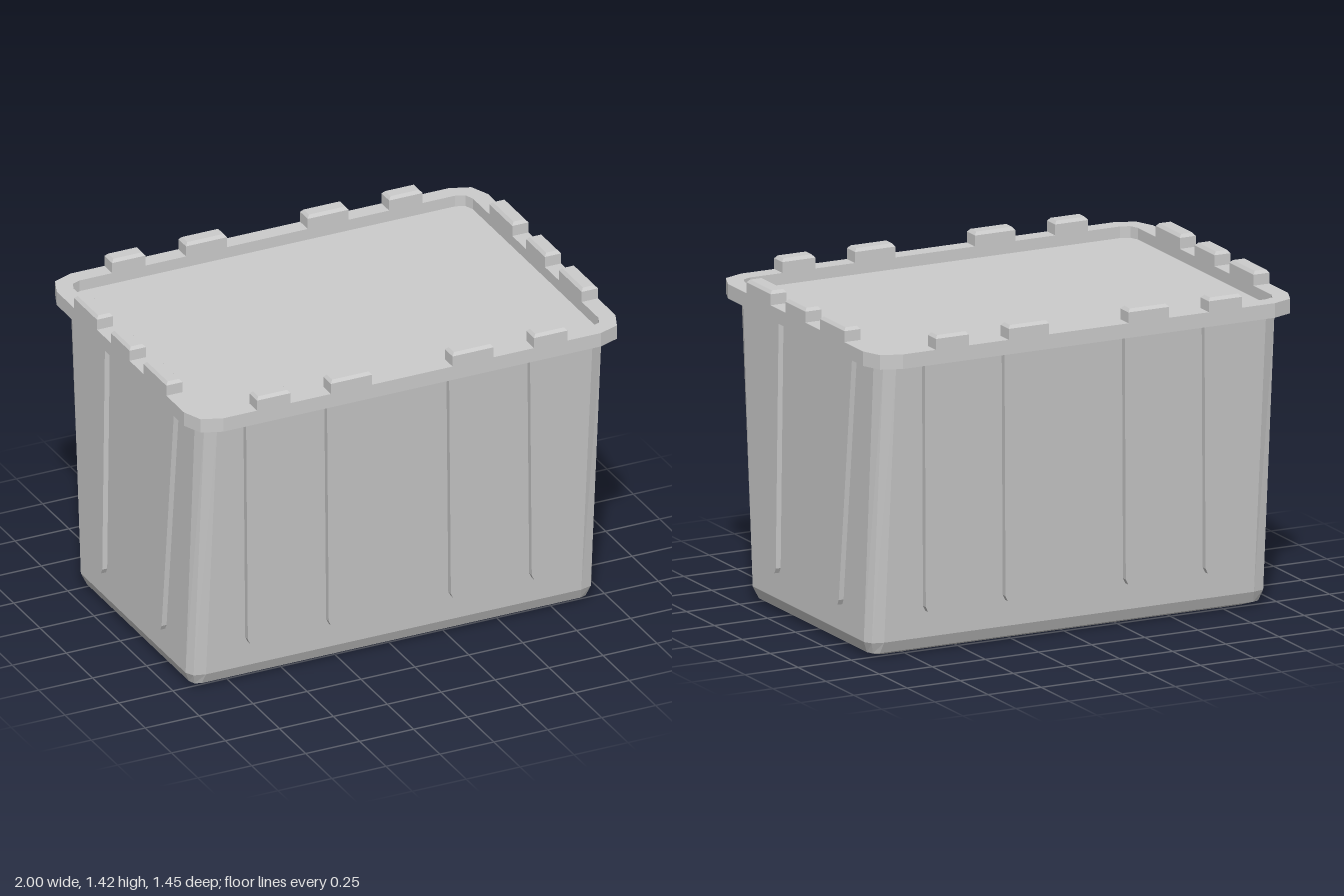
import * as THREE from 'three';

const material = new THREE.MeshStandardMaterial({ color: 0xcccccc, flatShading: true });

function add(group, name, geometry) {
  const mesh = new THREE.Mesh(geometry, material);
  mesh.name = name;
  group.add(mesh);
  return mesh;
}

// Rectangle with two-facet corners: half sizes and corner cut along x and z
function outline(hx, hz, cx, cz = cx) {
  const corner = [[hx, hz - cz], [hx - 0.28 * cx, hz - 0.28 * cz], [hx - cx, hz]];
  const flipX = corner.map(([x, z]) => [-x, z]).reverse();
  const half = [...corner, ...flipX];
  return [...half, ...half.map(([x, z]) => [-x, -z])];
}

// Closed loft through rings of [x, z] points, from bottom to top
function loft(rings) {
  const n = rings[0].points.length;
  const last = (rings.length - 1) * n;
  const positions = rings.flatMap(({ y, points }) => points.flatMap(([x, z]) => [x, y, z]));
  const index = [];
  for (let r = 0; r < rings.length - 1; r++) {
    for (let j = 0; j < n; j++) {
      const a = r * n + j, b = r * n + (j + 1) % n;
      index.push(a, a + n, b, b, a + n, b + n);
    }
  }
  for (let j = 1; j < n - 1; j++) {
    index.push(0, j, j + 1, last, last + j + 1, last + j);
  }
  const indexed = new THREE.BufferGeometry();
  indexed.setAttribute('position', new THREE.Float32BufferAttribute(positions, 3));
  indexed.setIndex(index);
  const geometry = indexed.toNonIndexed();
  geometry.computeVertexNormals();
  return geometry;
}

const toShape = (points) => new THREE.Shape(points.map(([x, y]) => new THREE.Vector2(x, y)));

// Horizontal slab with an optional opening
function slab(points, y, height, hole) {
  const shape = toShape(points);
  if (hole) shape.holes.push(toShape(hole));
  return new THREE.ExtrudeGeometry(shape, { depth: height, bevelEnabled: false })
    .rotateX(-Math.PI / 2).translate(0, y, 0);
}

// Tapered rib facing +z; its face leans outward by slope
function ribGeometry(top, bottom, face, slope) {
  const [t0, t1] = top, [b0, b1] = bottom;
  const c = Math.sign(b1 - b0) * 0.012;
  const shape = toShape([[t0, 1.3], [b0, 0.21], [b0 + c, 0.187], [b1 - c, 0.187], [b1, 0.21], [t1, 1.3]]);
  const depth = 0.06;
  const geometry = new THREE.ExtrudeGeometry(shape, { depth, bevelEnabled: false });
  const p = geometry.attributes.position;
  for (let i = 0; i < p.count; i++) {
    p.setZ(i, p.getZ(i) + face - depth + slope * p.getY(i));
  }
  geometry.computeVertexNormals();
  return geometry;
}

// Rim tooth with a small chamfer around its top
function toothGeometry(width, depth) {
  const ring = (y, inset) => {
    const x = width / 2 - inset, z = depth / 2 - inset;
    return { y, points: [[x, -z], [x, z], [-x, z], [-x, -z]] };
  };
  return loft([ring(1.35, 0), ring(1.405, 0), ring(1.418, 0.011)]);
}

export function createModel() {
  const bin = new THREE.Group();
  bin.name = 'storageBin';

  // Tapered body with a chamfered foot
  add(bin, 'body', loft([
    { y: 0, points: outline(0.87, 0.475, 0.03) },
    { y: 0.02, points: outline(0.918, 0.525, 0.04) },
    { y: 0.07, points: outline(0.94, 0.548, 0.07, 0.05) },
    { y: 1.3, points: outline(0.94, 0.656, 0.07) },
  ]));

  // Rim and the panel recessed inside it
  add(bin, 'rim', slab(outline(1, 0.725, 0.125, 0.12), 1.295, 0.063, outline(0.925, 0.652, 0.055)));
  add(bin, 'recessedPanel', slab(outline(0.93, 0.657, 0.055), 1.298, 0.01));

  for (const turn of [0, Math.PI]) {
    // Front and back: four ribs and four teeth
    const longSide = new THREE.Group();
    longSide.name = turn ? 'backSide' : 'frontSide';
    for (const x of [-0.658, -0.283, 0.283, 0.658]) {
      add(longSide, 'rib', ribGeometry([x - 0.091, x + 0.091], [x - 0.036, x + 0.036], 0.567, 0.088));
    }
    for (const s of [-1, 1]) {
      add(longSide, 'rimTooth', toothGeometry(0.155, 0.073)).position.set(s * 0.642, 0, 0.6885);
      add(longSide, 'rimTooth', toothGeometry(0.19, 0.073)).position.set(s * 0.282, 0, 0.6885);
    }
    longSide.rotation.y = turn;
    bin.add(longSide);

    // Left and right: two slanted ribs and three teeth
    const shortSide = new THREE.Group();
    shortSide.name = turn ? 'rightSide' : 'leftSide';
    for (const s of [-1, 1]) {
      add(shortSide, 'rib', ribGeometry([s * 0.221, s * 0.438], [s * 0.247, s * 0.317], 0.963, 0));
    }
    for (const [x, width] of [[-0.33, 0.217], [0, 0.178], [0.33, 0.217]]) {
      add(shortSide, 'rimTooth', toothGeometry(width, 0.075)).position.set(x, 0, 0.9625);
    }
    shortSide.rotation.y = turn + Math.PI / 2;
    bin.add(shortSide);
  }
  return bin;
}
